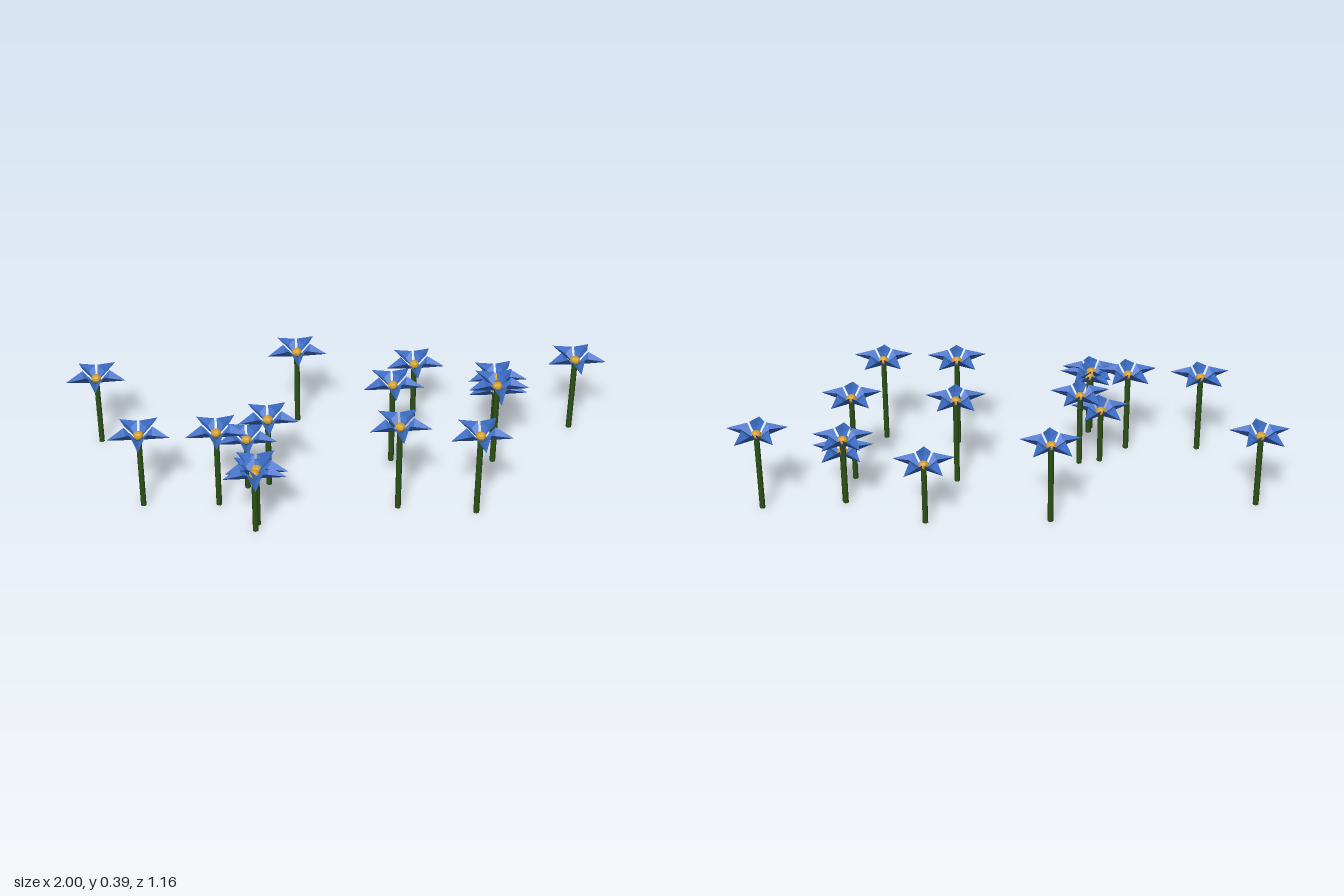
import * as THREE from 'three';

// [x, z, height of the bloom's highest point]
const FLOWERS = [
  [-0.902, 0.06, 0.321], [-0.61, 0.415, 0.345], [-0.336, 0.345, 0.353], [-0.187, 0.178, 0.323],
  [-0.26, 0.218, 0.248], [-0.163, 0.428, 0.28], [-0.161, 0.465, 0.283], [-0.188, -0.262, 0.348],
  [0.255, -0.397, 0.273], [0.232, -0.08, 0.375], [0.318, 0.207, 0.392], [0.608, 0.168, 0.373],
  [0.588, -0.345, 0.296], [0.595, -0.335, 0.242], [0.616, -0.167, 0.375], [0.876, -0.466, 0.342],
];

const material = (color, options) => new THREE.MeshStandardMaterial({ color, ...options });

// Solid kite-shaped petal pointing along +x: shallow crease above, deeper keel below
function petalGeometry() {
  const root = [0.008, -0.046, 0], crease = [0.05, -0.022, 0], tip = [0.12, -0.019, 0];
  const left = [0.046, 0, -0.028], right = [0.046, 0, 0.028];
  const geometry = new THREE.BufferGeometry();
  geometry.setAttribute('position', new THREE.Float32BufferAttribute([
    root, crease, left, crease, tip, left,
    root, right, crease, crease, right, tip,
    root, left, tip, root, tip, right,
  ].flat(), 3));
  geometry.computeVertexNormals();
  return geometry;
}

export function createModel() {
  const model = new THREE.Group();
  model.name = 'flowerPatch';

  const stemMaterial = material(0x2d5016);
  const petalMaterial = material(0x3b6cc4, { flatShading: true });
  const centreMaterial = material(0xd4a030, { flatShading: true });
  const petalGeo = petalGeometry();
  const centreGeo = new THREE.SphereGeometry(0.02, 8, 6).scale(1, 0.8, 1);

  for (const [x, z, top] of FLOWERS) {
    const flower = new THREE.Group();
    flower.name = 'flower';
    flower.position.set(x, 0, z);

    // Straight stem up to the base of the bloom
    const stemHeight = top - 0.04;
    const stem = new THREE.Mesh(new THREE.CylinderGeometry(0.011, 0.011, stemHeight, 8), stemMaterial);
    stem.name = 'stem';
    stem.position.y = stemHeight / 2;
    flower.add(stem);

    // Five petals around the centre
    const bloom = new THREE.Group();
    bloom.name = 'bloom';
    bloom.position.y = top;
    for (let i = 0; i < 5; i++) {
      const petal = new THREE.Mesh(petalGeo, petalMaterial);
      petal.name = 'petal';
      petal.rotation.y = (i * Math.PI * 2) / 5;
      bloom.add(petal);
    }

    const centre = new THREE.Mesh(centreGeo, centreMaterial);
    centre.name = 'flowerCentre';
    centre.position.y = -0.028;
    bloom.add(centre);

    flower.add(bloom);
    model.add(flower);
  }
  return model;
}
